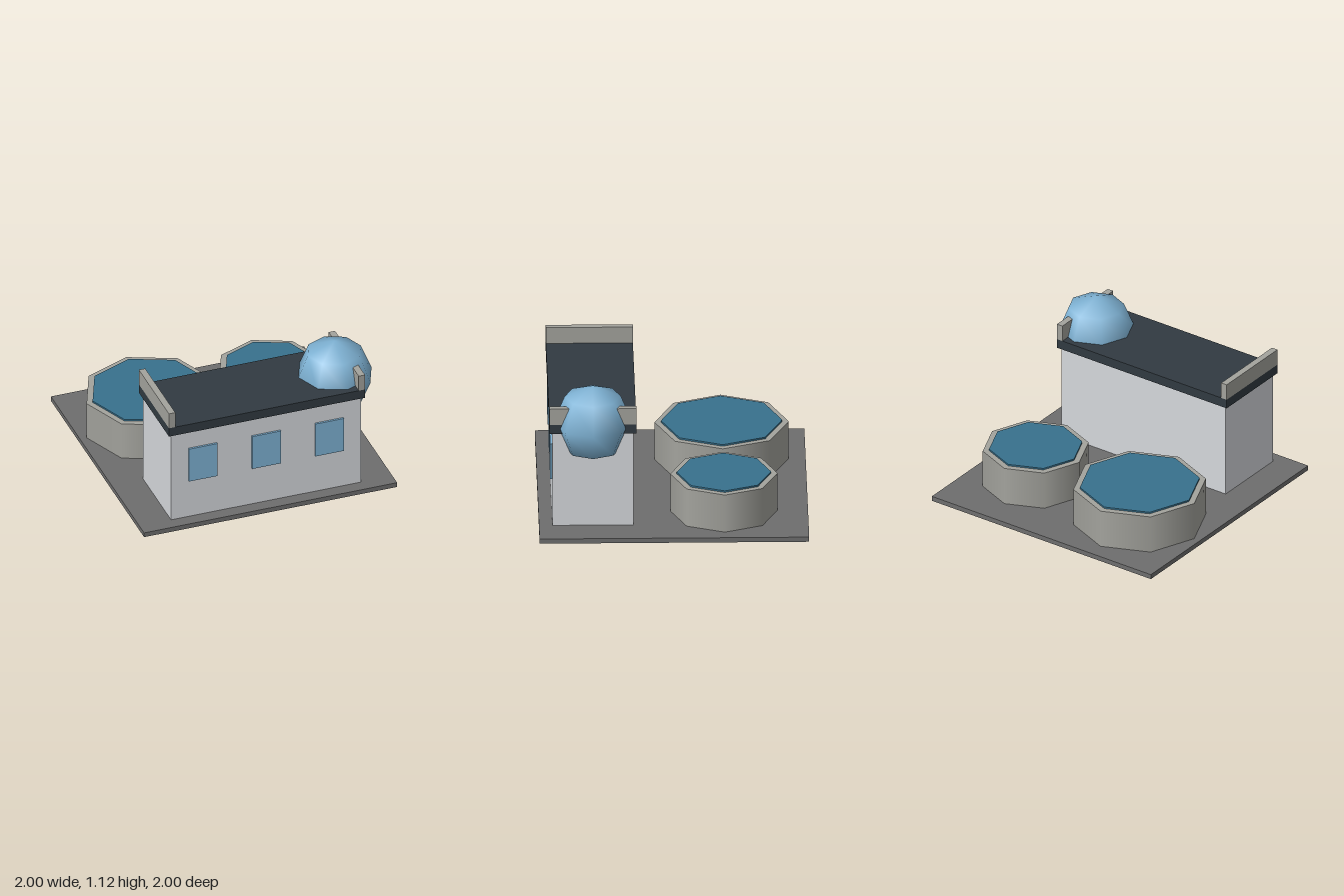
import * as THREE from 'three';

const mat = (name, color) => {
  const m = new THREE.MeshStandardMaterial({ color });
  m.name = name;
  return m;
};

export function createModel() {
  const group = new THREE.Group();
  const ground = mat('dark paving', 0x6e6e6e);
  const wall = mat('pale wall', 0xd5d8dc);
  const roofing = mat('slate roof', 0x313a41);
  const concrete = mat('concrete', 0xa3a39d);
  const glass = mat('light blue', 0x7fb3d5);
  const water = mat('water', 0x38718d);

  const add = (name, geometry, material, x, y, z) => {
    const mesh = new THREE.Mesh(geometry, material);
    mesh.name = name;
    mesh.position.set(x, y, z);
    group.add(mesh);
  };
  // Box given by its min and max corners
  const box = (name, material, [x0, y0, z0], [x1, y1, z1]) =>
    add(name, new THREE.BoxGeometry(x1 - x0, y1 - y0, z1 - z0), material,
      (x0 + x1) / 2, (y0 + y1) / 2, (z0 + z1) / 2);
  // Eight-sided drum standing between two heights
  const drum = (name, material, r, y0, y1, x, z) =>
    add(name, new THREE.CylinderGeometry(r, r, y1 - y0, 8), material, x, (y0 + y1) / 2, z);

  box('base', ground, [-1, 0, -1], [1, 0.0375, 1]);

  // Building with overhanging roof and end parapets
  box('building', wall, [-0.75, 0.0375, 0.3], [0.75, 0.789, 0.9]);
  box('roof', roofing, [-0.775, 0.789, 0.277], [0.775, 0.862, 0.923]);
  for (const s of [-1, 1]) {
    const x = s * 0.75;
    box(s < 0 ? 'rightParapet' : 'leftParapet', concrete,
      [x - 0.025, 0.862, 0.277], [x + 0.025, 0.99, 0.923]);
  }

  // Front windows
  for (const x of [-0.5, 0, 0.5])
    box('window', glass, [x - 0.113, 0.353, 0.906], [x + 0.113, 0.638, 0.915]);
  // Window backing strips close the gap to the wall
  for (const x of [-0.5, 0, 0.5])
    box('windowFrame', glass, [x - 0.113, 0.353, 0.9], [x + 0.113, 0.638, 0.906]);

  // Globe set into the end of the roof
  add('globe', new THREE.SphereGeometry(0.295, 8, 4), glass, 0.65, 0.829, 0.6);

  // Round tanks filled with water
  for (const [x, r] of [[-0.45, 0.498], [0.5, 0.398]]) {
    drum('tank', concrete, r, 0.0375, 0.338, x, -0.376);
    drum('tankWater', water, r - 0.048, 0.338, 0.351, x, -0.376);
  }
  return group;
}
